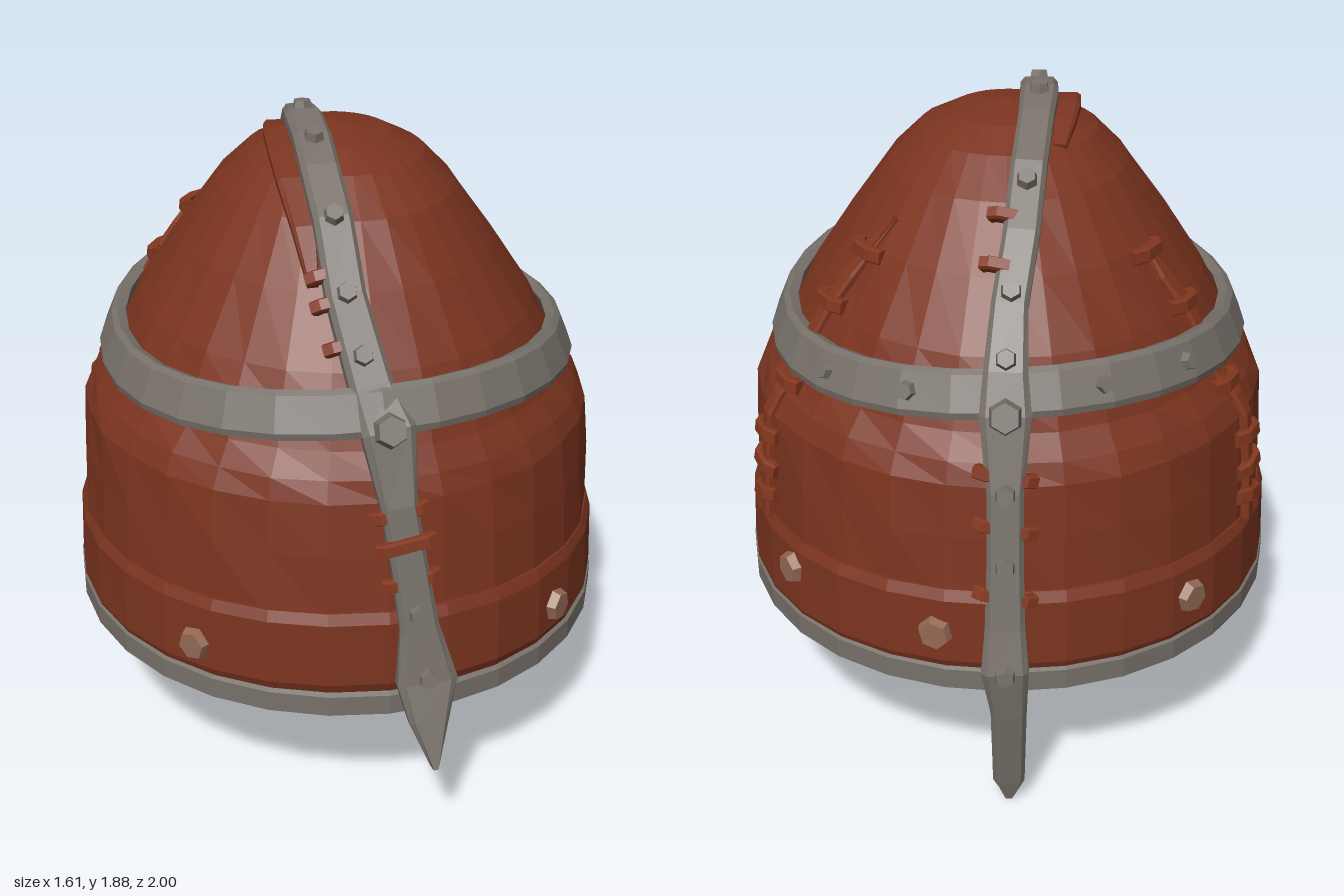
import * as THREE from 'three';

const V = (x, y, z) => new THREE.Vector3(x, y, z);
const mat = (name, color, side = THREE.FrontSide) =>
  new THREE.MeshStandardMaterial({ name, color, side, flatShading: true });

// shell profile: height, half width, front depth, back depth
const PROFILE = [
  [0.40, 0.780, 0.87, 0.87], [0.65, 0.785, 0.865, 0.865], [0.85, 0.775, 0.84, 0.845],
  [1.00, 0.765, 0.815, 0.825], [1.06, 0.735, 0.795, 0.80], [1.13, 0.678, 0.758, 0.76],
  [1.22, 0.640, 0.72, 0.73], [1.32, 0.585, 0.67, 0.69], [1.50, 0.465, 0.55, 0.575],
  [1.66, 0.350, 0.42, 0.425], [1.75, 0.262, 0.295, 0.30], [1.80, 0.165, 0.18, 0.19], [1.83, 0, 0, 0]];

function radii(y) {
  let i = 0;
  while (i < PROFILE.length - 2 && PROFILE[i + 1][0] < y) i++;
  const a = PROFILE[i], b = PROFILE[i + 1], t = (y - a[0]) / (b[0] - a[0]);
  return a.map((v, k) => v + (b[k] - v) * t);
}

// point on the side of the shell (s = +1 or -1) at a given height and z
function onShell(s, y, z, lift = 0) {
  const [, rx, rf, rb] = radii(y), q = z / (z > 0 ? rf : rb);
  return V(s * (rx * Math.sqrt(Math.max(0, 1 - q * q)) + lift), y, z);
}

// sweep a bevelled bar along points; half widths and normals per point
function bar(points, normals, widths, t, closed = false) {
  const n = points.length, pos = [], idx = [];
  points.forEach((p, i) => {
    const prev = points[closed ? (i + n - 1) % n : Math.max(i - 1, 0)];
    const next = points[closed ? (i + 1) % n : Math.min(i + 1, n - 1)];
    const T = next.clone().sub(prev).normalize();
    const side = normals[i].clone().cross(T).normalize();
    const up = T.clone().cross(side), w = widths[i];
    [[-w, -t], [w, -t], [w, 0.4 * t], [0.75 * w, t], [-0.75 * w, t], [-w, 0.4 * t]].forEach(([a, b]) =>
      pos.push(...p.clone().addScaledVector(side, a).addScaledVector(up, b).toArray()));
  });
  for (let i = 0; i < (closed ? n : n - 1); i++)
    for (let j = 0; j < 6; j++) {
      const k = (j + 1) % 6, a = i * 6, b = ((i + 1) % n) * 6;
      idx.push(a + j, a + k, b + k, a + j, b + k, b + j);
    }
  if (!closed)
    for (let j = 1; j < 5; j++) {
      const e = (n - 1) * 6;
      idx.push(0, j + 1, j, e, e + j, e + j + 1);
    }
  const g = new THREE.BufferGeometry();
  g.setAttribute('position', new THREE.Float32BufferAttribute(pos, 3));
  g.setIndex(idx);
  g.computeVertexNormals();
  return g;
}

// closed oval hoop around the shell
function hoop(rx, rz, yAt, halfHeight, t, tilt) {
  const pts = [], nor = [], n = 30;
  for (let i = 0; i < n; i++) {
    const a = i / n * Math.PI * 2;
    pts.push(V(rx * Math.sin(a), yAt(a), rz * Math.cos(a)));
    nor.push(V(Math.sin(a) / rx, tilt / rx, Math.cos(a) / rz).normalize());
  }
  return bar(pts, nor, pts.map(() => halfHeight), t, true);
}

export function createModel() {
  const root = new THREE.Group();
  root.name = 'helmet';
  const leather = mat('leather', 0x7b341f, THREE.DoubleSide);
  const metal = mat('iron', 0x78716a);
  const thong = mat('thong', 0x82371e);
  const copper = mat('copper', 0x946a54);

  const add = (name, geo, m) => {
    const mesh = new THREE.Mesh(geo, m);
    mesh.name = name;
    root.add(mesh);
    return mesh;
  };
  const stud = (name, p, n, r, h, m) => {
    const s = add(name, new THREE.CylinderGeometry(r * 0.78, r, h, 6), m);
    s.position.copy(p);
    s.quaternion.setFromUnitVectors(V(0, 1, 0), n.clone().normalize());
  };

  // faceted, slightly dented leather shell
  const SEG = 30, rows = PROFILE.length - 1;
  const shell = new THREE.PlaneGeometry(1, 1, SEG, rows), P = shell.attributes.position;
  for (let r = 0; r <= rows; r++)
    for (let c = 0; c <= SEG; c++) {
      const a = (c % SEG) / SEG * Math.PI * 2, [y, rx, rf, rb] = PROFILE[r];
      const k = 1 + 0.005 * Math.sin((c % SEG) * 2.7 + r * 1.9);
      P.setXYZ(r * (SEG + 1) + c, rx * k * Math.sin(a), y, (Math.cos(a) > 0 ? rf : rb) * k * Math.cos(a));
    }
  shell.computeVertexNormals();
  add('leatherShell', shell, leather);

  // brow band, rim and upper hoop, each a little uneven
  add('browBand', hoop(0.782, 0.868, a => 0.555 + 0.018 * Math.cos(2 * a) - 0.005 * Math.cos(a), 0.125, 0.022, 0.04), leather);
  add('rim', hoop(0.778, 0.865, a => 0.41 + 0.008 * Math.cos(2 * a) - 0.01 * Math.cos(a), 0.04, 0.033, 0), metal);
  const hoopY = a => 1.22 + 0.027 * Math.cos(2 * a) + 0.016 * Math.sin(2 * a);
  add('upperHoop', hoop(0.676, 0.755, hoopY, 0.068, 0.02, 0.42), metal);

  // crest strap from the neck spike over the top to the nose spike: x, y, z, half width
  const S = [
    [-0.01, 0.01, -0.85, 0.012], [-0.01, 0.08, -0.87, 0.045], [-0.01, 0.35, -0.92, 0.05], [0, 0.5, -0.945, 0.065],
    [0, 0.62, -0.915, 0.055], [0, 0.8, -0.88, 0.05], [0, 1.0, -0.843, 0.05], [0, 1.2, -0.79, 0.07],
    [0, 1.3, -0.74, 0.06], [-0.01, 1.45, -0.635, 0.05], [-0.04, 1.6, -0.495, 0.05], [-0.06, 1.735, -0.335, 0.05],
    [-0.08, 1.815, -0.15, 0.05], [-0.09, 1.84, 0, 0.055], [-0.09, 1.82, 0.15, 0.055], [-0.09, 1.77, 0.29, 0.055],
    [-0.08, 1.675, 0.435, 0.055], [-0.07, 1.51, 0.575, 0.055], [-0.025, 1.3, 0.715, 0.06], [0.01, 1.2, 0.78, 0.075],
    [0.03, 1.0, 0.833, 0.05], [0.06, 0.8, 0.865, 0.05], [0.08, 0.65, 0.89, 0.055], [0.1, 0.49, 0.915, 0.085],
    [0.1, 0.38, 0.95, 0.055], [0.11, 0.25, 0.99, 0.008]];
  const curve = new THREE.CatmullRomCurve3(S.map(s => V(s[0], s[1], s[2])));
  const last = S.length - 1;
  const normalAt = i => curve.getTangent(i / last).cross(V(1, 0, 0)).normalize();
  const strapAt = (i, lift) => curve.getPoint(i / last).addScaledVector(normalAt(i), lift);
  add('crestStrap', bar(S.map((s, i) => strapAt(i, 0)), S.map((s, i) => normalAt(i)), S.map(s => s[3]), 0.025), metal);

  // strap rivets, with larger bosses where the strap crosses the hoop
  for (const i of [3, 5, 6, 8.2, 9.15, 10.7, 12.8, 14.2, 16, 17, 17.65, 21.7, 22.9])
    stud('strapRivet', strapAt(i, 0.03), normalAt(i), 0.032, 0.03, metal);
  for (const i of [7, 19]) stud('crossingBoss', strapAt(i, 0.035), normalAt(i), 0.052, 0.05, metal);

  // hoop rivets toward the back
  for (const a of [2.34, 2.75, -2.34, -2.75]) {
    const n = V(Math.sin(a), 0.3, Math.cos(a));
    stud('hoopRivet', V(0.698 * Math.sin(a), hoopY(a) + 0.01, 0.777 * Math.cos(a)), n, 0.03, 0.03, metal);
  }

  // copper studs on the brow band: angle, height
  for (const [a, y] of [[0.74, 0.53], [-0.7, 0.53], [2.26, 0.59], [-2.43, 0.57], [2.9, 0.57]]) {
    const n = V(Math.sin(a) / 0.8, 0, Math.cos(a) / 0.89);
    stud('browStud', V(0.807 * Math.sin(a), y, 0.893 * Math.cos(a)), n, 0.054, 0.036, copper);
  }

  // leather ties beside and across the strap: place along it, inner and outer x, lift
  const ties = [
    [4.5, -0.08, 0.08, 0], [5.5, -0.08, 0.08, 0], [6.2, -0.08, 0.08, 0], [9.5, 0, 0.09, 0], [10.2, 0, 0.09, 0],
    [16.7, -0.09, 0, 0], [17.05, -0.09, 0, 0], [17.5, -0.085, 0, 0],
    [20.1, -0.075, 0.075, 0], [20.5, -0.075, 0.075, 0.026], [21.1, -0.075, 0.075, 0]];
  for (const [i, x0, x1, lift] of ties) {
    const c = strapAt(i, lift), n = normalAt(i);
    const pts = [x0, x0 + 0.02, x1 - 0.02, x1].map((x, k) =>
      c.clone().add(V(x, x * 0.2, 0)).addScaledVector(n, k % 3 ? 0.004 : -0.01));
    add('strapTie', bar(pts, pts.map(() => n), pts.map(() => 0.019), 0.016), thong);
  }

  // raised leather edge beside the strap
  const flap = [11.5, 12.2, 13, 14, 15, 16, 16.8];
  add('crestFlap', bar(flap.map(i => strapAt(i, -0.028).add(V(-0.075, -0.006, 0))), flap.map(normalAt),
    [0.02, 0.035, 0.045, 0.05, 0.045, 0.035, 0.015], 0.014), leather);

  // laced seams on both sides
  for (const s of [1, -1]) {
    const n = V(s, 0.15, -0.4).normalize();
    const seamZ = y => -0.375 + 0.04 * Math.max(0, y - 1.0) / 0.6;
    const top = s > 0 ? 1.58 : 1.5;
    const seam = [0.66, 0.85, 1.0, 1.06, 1.13, 1.22, 1.32, 1.42, top].map(y => onShell(s, y, seamZ(y), 0.004));
    add('sideSeam', bar(seam, seam.map(() => n), seam.map((p, i) => i === 8 ? 0.01 : 0.028), 0.016), thong);
    for (const y of [0.74, 0.84, 0.94, 1.1, 1.34, 1.49]) {
      const slant = 0.2 * Math.sin(y * 40);
      const pts = [-0.06, -0.03, 0.03, 0.06].map((d, k) =>
        onShell(s, y + d * slant, seamZ(y) + d, k % 3 ? 0.022 : 0.002));
      add('seamTie', bar(pts, pts.map(() => n), pts.map(() => 0.021), 0.016), thong);
    }
  }
  return root;
}
